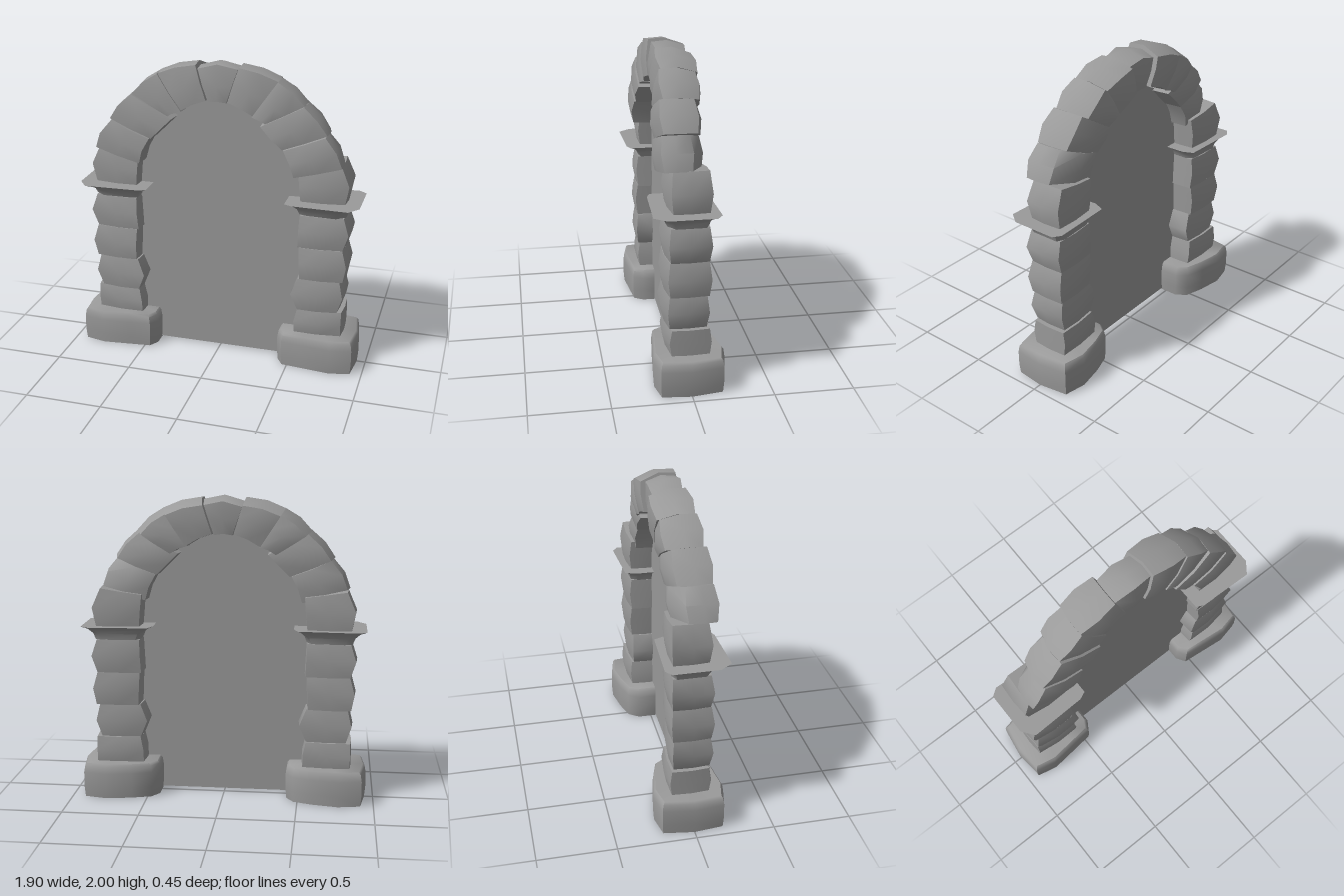
import * as THREE from 'three';
import { toCreasedNormals } from 'three/addons/utils/BufferGeometryUtils.js';

const grey = new THREE.MeshStandardMaterial({ color: 0x9a9a9a });
const sheet = new THREE.MeshStandardMaterial({ color: 0x9a9a9a, side: THREE.DoubleSide });

// Closed solid through a list of rings of [x, y, z]; side = -1 mirrors it in x.
function loft(name, rings, side) {
  const n = rings[0].length, pos = [], idx = [];
  const add = (p) => pos.push(p[0] * side, p[1], p[2]);
  const tri = (a, b, c) => (side > 0 ? idx.push(a, b, c) : idx.push(a, c, b));
  const centre = (r) => [0, 1, 2].map((k) => r.reduce((s, p) => s + p[k], 0) / n);
  rings.forEach((r) => r.forEach(add));
  const last = (rings.length - 1) * n, c0 = rings.length * n, c1 = c0 + 1;
  add(centre(rings[0]));
  add(centre(rings[rings.length - 1]));
  for (let i = 0; i < n; i++) {
    const j = (i + 1) % n;
    for (let k = 0; k < last; k += n) {
      tri(k + i, k + j, k + n + j);
      tri(k + i, k + n + j, k + n + i);
    }
    tri(c0, j, i);
    tri(c1, last + i, last + j);
  }
  const geo = new THREE.BufferGeometry();
  geo.setAttribute('position', new THREE.Float32BufferAttribute(pos, 3));
  geo.setIndex(idx);
  const mesh = new THREE.Mesh(toCreasedNormals(geo, 0.85), grey);
  mesh.name = name;
  return mesh;
}

// Eight-point ring between an outer and an inner point, spanning depth zb..zf.
// taper narrows the outer back corner in depth, roll pulls it inward.
function stoneRing(o, i, zf, zb, bOut, bIn, bZ, taper, roll) {
  const len = Math.hypot(o[0] - i[0], o[1] - i[1]);
  const d = [(o[0] - i[0]) / len, (o[1] - i[1]) / len];
  const at = (p, k, z) => [p[0] + d[0] * k, p[1] + d[1] * k, z];
  const mid = [(o[0] + i[0]) / 2, (o[1] + i[1]) / 2], zm = (zf + zb + taper) / 2;
  return [
    at(i, -bIn, zf), at(mid, 0, zf + bZ), at(o, bOut, zf - 0.015), at(o, bOut + 0.008, zm),
    at(o, bOut - roll, zb + taper), at(mid, 0, zb - bZ), at(i, -bIn, zb + 0.01), at(i, -bIn - 0.008, zm),
  ];
}

// Rough block from end A to end B, swollen halfway along.
function stone(name, [oA, iA, oB, iB, zf, zb, bOut, bIn, taper = 0, roll = 0], side) {
  const mix = (a, b) => [(a[0] + b[0]) / 2, (a[1] + b[1]) / 2];
  return loft(name, [
    stoneRing(oA, iA, zf - 0.015, zb + 0.012, 0, 0, 0.004, taper, roll),
    stoneRing(mix(oA, oB), mix(iA, iB), zf, zb, bOut, bIn, 0.01, taper, roll),
    stoneRing(oB, iB, zf - 0.015, zb + 0.012, 0, 0, 0.004, taper, roll),
  ], side);
}

// outer A, inner A, outer B, inner B, front z, back z, outer swell, inner swell, taper, roll
const pillar = [
  [[0.84, 0.22], [0.53, 0.22], [0.84, 0.40], [0.55, 0.40], 0.14, -0.135, 0.0, 0.01],
  [[0.81, 0.40], [0.55, 0.40], [0.82, 0.62], [0.55, 0.62], 0.15, -0.12, 0.03, 0.045],
  [[0.84, 0.62], [0.56, 0.62], [0.83, 0.84], [0.55, 0.84], 0.15, -0.13, 0.025, 0.0],
  [[0.83, 0.84], [0.54, 0.84], [0.83, 1.06], [0.55, 1.06], 0.145, -0.13, 0.035, 0.0],
];
const arch = [
  [[0.83, 1.14], [0.55, 1.14], [0.80, 1.40], [0.53, 1.36], 0.13, -0.13, 0.04, 0.0],
  [[0.81, 1.40], [0.51, 1.32], [0.70, 1.59], [0.44, 1.49], 0.18, -0.10, 0.02, -0.01, 0.07, 0.01],
  [[0.71, 1.60], [0.43, 1.49], [0.56, 1.77], [0.29, 1.63], 0.17, -0.11, 0.015, 0.0, 0.03, 0.02],
  [[0.56, 1.77], [0.34, 1.63], [0.39, 1.91], [0.23, 1.68], 0.15, -0.125, 0.015, -0.01, 0.01, 0.035],
  [[0.39, 1.91], [0.24, 1.68], [0.14, 1.98], [0.07, 1.76], 0.14, -0.13, 0.015, -0.01, 0, 0.04],
];
const keystone = [[0.13, 1.965], [0.06, 1.75], [-0.13, 1.955], [-0.06, 1.75], 0.125, -0.10, 0.032, -0.01, 0, 0.025];

// Footing outline [x, z], and the footprints of the moulding from bottom to top
const footing = [[0.42, 0.12], [0.46, 0.185], [0.60, 0.20], [0.79, 0.22], [0.93, 0.19], [0.95, 0],
  [0.92, -0.20], [0.77, -0.23], [0.60, -0.20], [0.47, -0.16], [0.42, -0.09]];
const moulding = [
  [1.06, 0.545, 0.84, 0.13, -0.12],
  [1.10, 0.53, 0.855, 0.15, -0.13],
  [1.13, 0.50, 0.885, 0.185, -0.15],
  [1.15, 0.46, 0.93, 0.225, -0.18],
];

export function createModel() {
  const group = new THREE.Group();
  for (const [side, label] of [[1, 'left'], [-1, 'right']]) {
    // footing block, slightly swollen at mid height
    const layers = [[0, 0.975], [0.07, 1], [0.17, 1], [0.215, 0.97], [0.23, 0.92]];
    group.add(loft(label + 'Footing', layers.map(([y, k]) =>
      footing.map(([x, z]) => [0.68 + (x - 0.68) * k, y, z * k])), side));

    // pillar stones
    pillar.forEach((s, i) => group.add(stone(`${label}PillarStone${i + 1}`, s, side)));

    // flared moulding
    group.add(loft(label + 'Moulding', moulding.map(([y, xi, xo, zf, zb]) =>
      [[xi, y, zf * 0.85], [xi + 0.05, y, zf * 0.95], [xo - 0.06, y, zf], [xo, y, zf * 0.65],
        [xo, y, zb * 0.8], [xo - 0.05, y, zb], [xi + 0.03, y, zb * 0.9], [xi, y, zb * 0.5]]), side));

    // arch stones
    arch.forEach((s, i) => group.add(stone(`${label}ArchStone${i + 1}`, s, side)));
  }
  group.add(stone('keystone', keystone, 1));

  // thin panel filling the opening
  const shape = new THREE.Shape();
  shape.moveTo(-0.62, 0.01);
  shape.lineTo(0.62, 0.01);
  shape.lineTo(0.62, 1.22);
  shape.absarc(0, 1.22, 0.62, 0, Math.PI, false);
  shape.closePath();
  const panel = new THREE.Mesh(new THREE.ShapeGeometry(shape, 24), sheet);
  panel.name = 'doorwayPanel';
  panel.position.z = 0.035;
  group.add(panel);
  return group;
}
